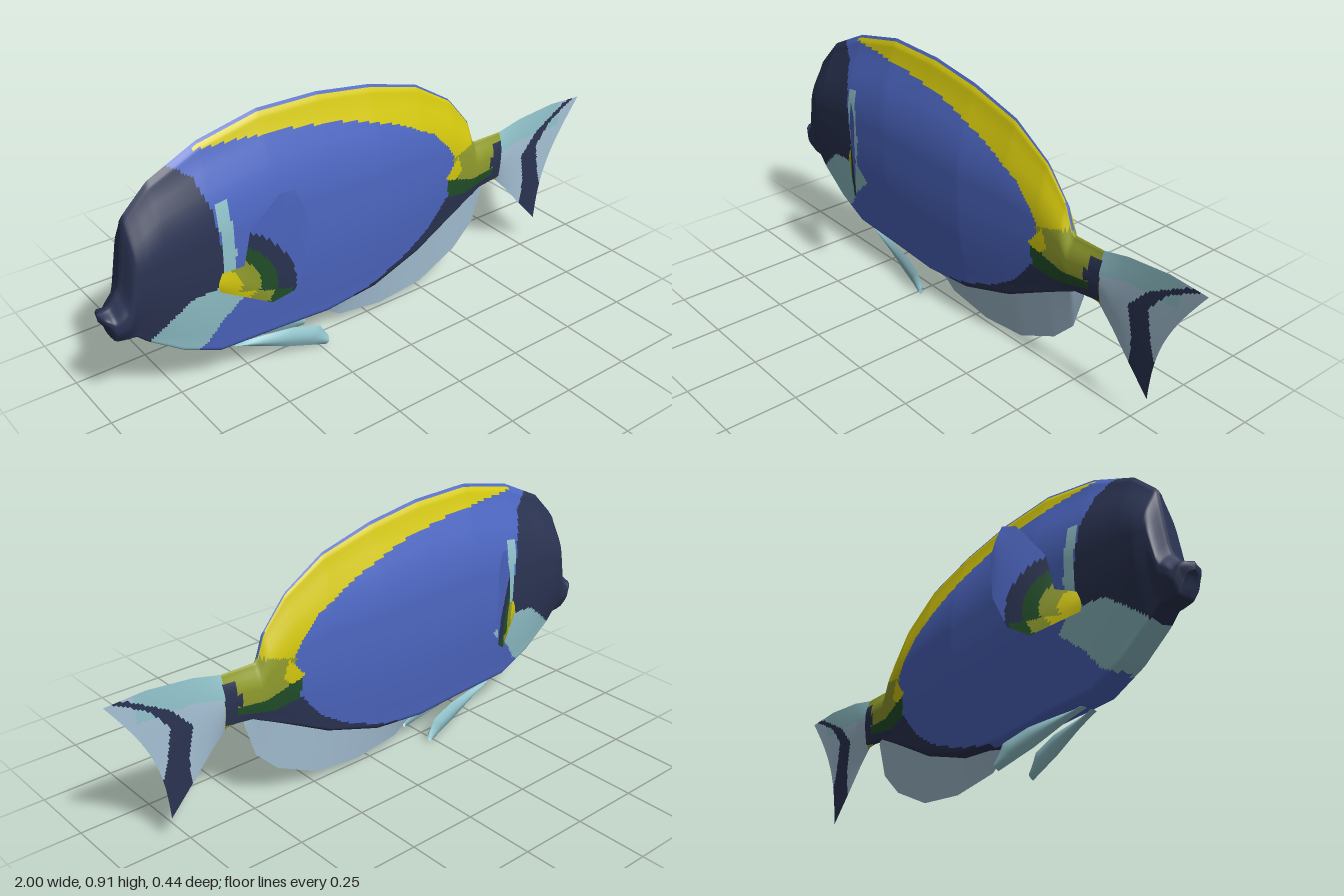
import * as THREE from 'three';

const paint = {
  blue: 0x4e68c4, navy: 0x2b3453, yellow: 0xd6ca0e, paleBlue: 0xa6c2d6,
  teal: 0x92c4cc, green: 0x22502a, olive: 0x929e2e,
};

// Linear lookup of y at x in a list of [x, y] points
function lin(pts, x) {
  if (x <= pts[0][0]) return pts[0][1];
  for (let i = 1; i < pts.length; i++) {
    const [x0, y0] = pts[i - 1], [x1, y1] = pts[i];
    if (x <= x1) return y0 + (y1 - y0) * (x - x0) / (x1 - x0);
  }
  return pts[pts.length - 1][1];
}

// Point at u (0..1) along a polyline, evenly spread over its segments
function poly(pts) {
  return (u) => {
    const t = u * (pts.length - 1), i = Math.min(Math.floor(t), pts.length - 2), f = t - i;
    return [0, 1].map((k) => pts[i][k] + (pts[i + 1][k] - pts[i][k]) * f);
  };
}

// Point-in-polygon test for markings
function inside(pts, x, y) {
  let hit = false;
  for (let i = 0, j = pts.length - 1; i < pts.length; j = i++) {
    const [xi, yi] = pts[i], [xj, yj] = pts[j];
    if ((yi > y) !== (yj > y) && x < (xj - xi) * (y - yi) / (yj - yi) + xi) hit = !hit;
  }
  return hit;
}

const names = Object.keys(paint);

// Two-sided skin between a lower and an upper edge, coloured by a rule on (x, y)
function skin(name, mats, { top, bottom, nu, nv, thick, centre = () => 0, bow = () => 0, colour }) {
  const pos = [], buckets = names.map(() => []), row = nv + 1, size = (nu + 1) * row;
  for (const side of [1, -1]) {
    for (let i = 0; i <= nu; i++) {
      const u = i / nu, a = bottom(u), b = top(u);
      for (let j = 0; j <= nv; j++) {
        const v = j / nv;
        const x = a[0] + (b[0] - a[0]) * v - bow(u, v), y = a[1] + (b[1] - a[1]) * v;
        pos.push(x, y, centre(x) + side * thick(u, v, x));
      }
    }
  }
  for (let s = 0; s < 2; s++) {
    for (let i = 0; i < nu; i++) for (let j = 0; j < nv; j++) {
      const a = s * size + i * row + j, b = a + row, c = b + 1, d = a + 1;
      const mx = (pos[a * 3] + pos[c * 3]) / 2, my = (pos[a * 3 + 1] + pos[c * 3 + 1]) / 2;
      buckets[names.indexOf(colour(mx, my))].push(...(s ? [a, c, b, a, d, c] : [a, b, c, a, c, d]));
    }
  }
  const geo = new THREE.BufferGeometry();
  geo.setAttribute('position', new THREE.Float32BufferAttribute(pos, 3));
  geo.setIndex(buckets.flat());
  let start = 0;
  buckets.forEach((list, m) => {
    if (list.length) geo.addGroup(start, list.length, m);
    start += list.length;
  });
  geo.computeVertexNormals();
  const mesh = new THREE.Mesh(geo, mats);
  mesh.name = name;
  return mesh;
}

// Body outline and thickness
const back = [[-1, 0.41], [-0.96, 0.425], [-0.92, 0.48], [-0.89, 0.7], [-0.8, 0.79], [-0.63, 0.87],
  [-0.42, 0.915], [-0.2, 0.91], [0, 0.88], [0.2, 0.825], [0.35, 0.73], [0.44, 0.62], [0.47, 0.53], [0.6, 0.53]];
const belly = [[-1, 0.385], [-0.98, 0.36], [-0.965, 0.31], [-0.9, 0.3], [-0.87, 0.27], [-0.75, 0.18], [-0.62, 0.12],
  [-0.4, 0.11], [-0.2, 0.095], [0, 0.115], [0.2, 0.18], [0.35, 0.26], [0.5, 0.34], [0.6, 0.35]];
const width = [[-1, 0], [-0.99, 0.04], [-0.95, 0.06], [-0.85, 0.08], [-0.6, 0.088], [-0.4, 0.09],
  [0, 0.08], [0.3, 0.05], [0.45, 0.034], [0.6, 0.018]];
const section = [[0, 0.5], [0.2, 0.8], [0.4, 1], [0.7, 1], [0.9, 0.4], [1, 0]];
const fullness = (s) => {
  let sum = 0;
  for (let k = -4; k <= 4; k++) sum += lin(section, s + k * 0.025);
  return sum / 9 * Math.min(1, 40 * s, 40 * (1 - s));
};

// Body markings
const headEdge = [[0.12, -0.58], [0.4, -0.58], [0.5, -0.61], [0.68, -0.635], [0.78, -0.67], [0.82, -0.73]];
const cheek = [[-0.88, 0.26], [-0.8, 0.33], [-0.72, 0.39], [-0.58, 0.4], [-0.53, 0.34], [-0.62, 0.26], [-0.68, 0.18], [-0.75, 0.16]];
const gill = [[-0.625, 0.69], [-0.58, 0.685], [-0.565, 0.5], [-0.58, 0.4], [-0.615, 0.44], [-0.61, 0.52]];
const dorsalLine = [[-0.66, 0.85], [-0.5, 0.845], [-0.3, 0.83], [-0.1, 0.795], [0.1, 0.725], [0.25, 0.645], [0.33, 0.56], [0.36, 0.5]];
const bellyLine = [[-0.22, 0.1], [0, 0.15], [0.15, 0.21], [0.25, 0.28], [0.32, 0.37], [0.34, 0.38]];
const stalk = [[0.34, 0.52], [0.37, 0.43], [0.45, 0.4], [0.6, 0.41], [0.6, 0.56], [0.46, 0.545]];
const stalkShade = [[0.32, 0.44], [0.33, 0.37], [0.42, 0.35], [0.56, 0.38], [0.57, 0.44], [0.4, 0.45]];
const spot = [[0.31, 0.45], [0.37, 0.52], [0.39, 0.46], [0.36, 0.43]];

function bodyColour(x, y) {
  if (inside(cheek, x, y) || inside(gill, x, y)) return 'teal';
  if (x < lin(headEdge, y) && y > lin([[-0.8, 0.33], [-0.72, 0.39]], x) - (x < -0.8 ? 1 : 0)) return 'navy';
  if (inside(spot, x, y)) return 'yellow';
  if (x > 0.56 && y < 0.5) return 'navy';
  if (inside(stalk, x, y)) return 'olive';
  if (inside(stalkShade, x, y)) return 'green';
  if (x > -0.66 && y > lin(dorsalLine, x)) return y > lin(back, x) - 0.006 ? 'blue' : 'yellow';
  if (x > -0.22 && y < lin(bellyLine, x)) return 'navy';
  return 'blue';
}

// Tail markings
const tailBand = [[0.99, 0.57], [0.93, 0.558], [0.79, 0.48], [0.715, 0.4], [0.735, 0.28], [0.72, 0.17], [0.82, 0.08],
  [0.83, 0.24], [0.81, 0.31], [0.79, 0.42], [0.86, 0.5]];
function tailColour(x, y) {
  if (inside(tailBand, x, y)) return 'navy';
  if (x < 0.6 - Math.max(0, 0.43 - y) * 0.4 && y < 0.5) return 'navy';
  if (x < 0.6) return 'olive';
  return y > 0.47 - Math.max(0, 0.7 - x) * 0.2 && x < 0.9 ? 'teal' : 'paleBlue';
}

function pectoralColour(x, y) {
  const r = Math.hypot(x + 0.62, y - 0.41) - (y < 0.38 ? 0.04 : 0);
  return r < 0.05 ? 'yellow' : r < 0.1 ? 'olive' : r < 0.145 ? 'green' : r < 0.195 ? 'navy' : 'blue';
}

const lens = (t) => (u, v) => t * Math.sin(Math.PI * v);

export function createModel() {
  const group = new THREE.Group();
  group.name = 'fish';
  const mats = names.map((name) => {
    const m = new THREE.MeshStandardMaterial({ color: paint[name], side: THREE.DoubleSide });
    m.name = name;
    return m;
  });
  const bodyX = (u) => -1 + 1.6 * u;

  group.add(skin('body', mats, {
    top: (u) => [bodyX(u), lin(back, bodyX(u))],
    bottom: (u) => [bodyX(u), lin(belly, bodyX(u))],
    nu: 190, nv: 84, colour: bodyColour,
    thick: (u, v, x) => lin(width, x) * fullness(v),
  }));

  group.add(skin('tailFin', mats, {
    top: poly([[0.54, 0.527], [0.6, 0.53], [0.7, 0.553], [0.86, 0.568], [1, 0.56]]),
    bottom: poly([[0.54, 0.345], [0.59, 0.34], [0.65, 0.28], [0.72, 0.2], [0.81, 0.1]]),
    nu: 60, nv: 56, colour: tailColour,
    thick: (u, v) => (0.024 * (1 - u) ** 1.5 + 0.002) * Math.sin(Math.PI * v),
    bow: (u, v) => 0.05 * u * u * Math.sin(Math.PI * v),
  }));

  group.add(skin('analFin', mats, {
    top: poly([[-0.22, 0.1], [-0.1, 0.115], [0.06, 0.15], [0.24, 0.22], [0.38, 0.3], [0.46, 0.35], [0.525, 0.36]]),
    bottom: poly([[-0.2, 0.095], [-0.12, 0.04], [0.06, 0.015], [0.24, 0.035], [0.4, 0.115], [0.485, 0.2], [0.525, 0.33]]),
    nu: 48, nv: 16, thick: (u, v) => 0.018 * v * Math.min(1, 8 * u, 8 * (1 - u)),
    colour: () => 'paleBlue',
  }));

  // Paired fins
  for (const side of [1, -1]) {
    const label = side > 0 ? 'left' : 'right';
    group.add(skin(label + 'PectoralFin', mats, {
      top: poly([[-0.64, 0.44], [-0.56, 0.47], [-0.54, 0.59], [-0.46, 0.715], [-0.42, 0.725]]),
      bottom: poly([[-0.64, 0.385], [-0.49, 0.33], [-0.43, 0.37], [-0.39, 0.48], [-0.385, 0.615]]),
      nu: 44, nv: 28, colour: pectoralColour, thick: lens(0.005),
      centre: (x) => side * (0.08 + (x + 0.63) * 0.58),
    }));
    group.add(skin(label + 'PelvicFin', mats, {
      top: poly([[-0.56, 0.118], [-0.45, 0.115], [-0.35, 0.11], [-0.25, 0.085], [-0.22, 0.035]]),
      bottom: poly([[-0.56, 0.112], [-0.45, 0.07], [-0.37, 0.04], [-0.3, 0.02], [-0.23, 0]]),
      nu: 20, nv: 10, colour: () => 'teal', thick: lens(0.012),
      centre: (x) => side * (0.02 + (x + 0.56) * 0.15),
    }));
  }
  return group;
}
